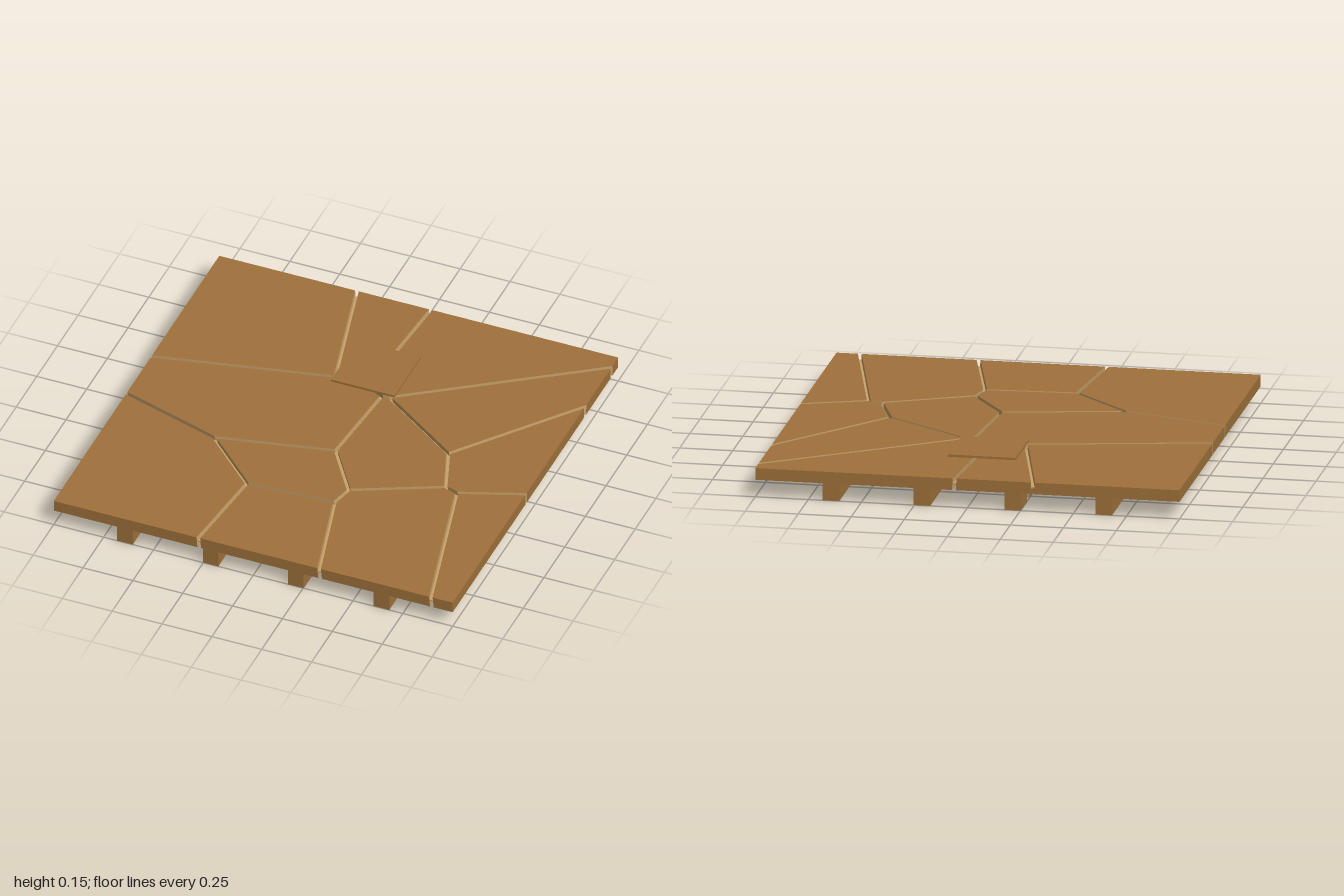
import * as THREE from 'three';
import { ConvexGeometry } from 'three/addons/geometries/ConvexGeometry.js';

const TOP = 0.138, DECK = 0.082, GAP = 0.009;
const LEAN = [0.08, -0.06]; // how far the cracks drift in x and z per unit of depth

// Corners shared by the broken pieces, as [x, z]
const P = {
  nw: [-1, -1], ne: [1, -1], sw: [-1, 1], se: [1, 1],
  n1: [-0.31, -1], n2: [0.06, -1], e1: [1, -0.92], e2: [1, -0.6], e3: [1, 0.115],
  s1: [-0.275, 1], s2: [0.33, 1], s3: [0.89, 1], w1: [-1, -0.18], w2: [-1, 0.12],
  a: [-0.155, -0.365], b: [0.01, -0.36], c: [0.1, -0.312], d: [0.135, -0.317],
  e: [0.55, -0.03], f: [0.635, 0.207], g: [0.7, 0.228], h: [0.23, 0.4],
  i: [0.205, 0.51], j: [-0.225, 0.535], k: [-0.5, 0.272], l: [0.06, 0.148],
};
const CELLS = [
  'nw n1 a w1', 'n1 n2 b a', 'n2 ne e1 d c b', 'e1 e2 e d',
  'w1 a b c l k w2', 'c d e f h l', 'e2 e3 g f e', 'g s3 s2 i h f',
  'e3 se s3 g', 'i s2 s1 j', 'k l h i j', 'w2 k j s1 sw',
].map((names) => names.split(' ').map((n) => P[n]));

const onBorder = (a, b) => [0, 1].some((i) => Math.abs(a[i]) === 1 && a[i] === b[i]);

// Planes [normal, distance] of the slanted crack walls round one piece
function crackPlanes(cell) {
  const cx = cell.reduce((s, p) => s + p[0], 0) / cell.length;
  const cz = cell.reduce((s, p) => s + p[1], 0) / cell.length;
  const planes = [];
  cell.forEach((a, i) => {
    const b = cell[(i + 1) % cell.length];
    if (onBorder(a, b)) return;
    const len = Math.hypot(b[0] - a[0], b[1] - a[1]);
    let nx = (b[1] - a[1]) / len, nz = (a[0] - b[0]) / len;
    if (nx * (cx - a[0]) + nz * (cz - a[1]) > 0) { nx = -nx; nz = -nz; }
    const ny = nx * LEAN[0] + nz * LEAN[1];
    planes.push([new THREE.Vector3(nx, ny, nz), nx * a[0] + nz * a[1] - GAP + ny * TOP]);
  });
  return planes;
}

// Solid left when a box is cut by the crack walls, or null when nothing is left
function cutBox(x0, x1, y0, y1, cuts) {
  const V = (x, y, z) => new THREE.Vector3(x, y, z);
  const planes = [
    [V(1, 0, 0), x1], [V(-1, 0, 0), -x0], [V(0, 1, 0), y1],
    [V(0, -1, 0), -y0], [V(0, 0, 1), 1], [V(0, 0, -1), 1], ...cuts,
  ];
  const pts = [];
  for (let i = 0; i < planes.length; i++)
    for (let j = i + 1; j < planes.length; j++)
      for (let k = j + 1; k < planes.length; k++) {
        const [[n1, d1], [n2, d2], [n3, d3]] = [planes[i], planes[j], planes[k]];
        const c23 = n2.clone().cross(n3);
        const det = n1.dot(c23);
        if (Math.abs(det) < 1e-6) continue;
        const p = c23.multiplyScalar(d1)
          .addScaledVector(n3.clone().cross(n1), d2)
          .addScaledVector(n1.clone().cross(n2), d3)
          .divideScalar(det);
        if (planes.every(([n, d]) => n.dot(p) <= d + 1e-6)
          && pts.every((q) => q.distanceTo(p) > 1e-4)) pts.push(p);
      }
  return pts.length >= 6 ? paintWalls(new ConvexGeometry(pts)) : null;
}

// Outer faces are square to the axes and take material 0, crack walls take material 1
function paintWalls(geometry) {
  const { normal } = geometry.attributes;
  for (let i = 0; i < normal.count; i += 3) {
    const straight = Math.max(...[normal.getX(i), normal.getY(i), normal.getZ(i)].map(Math.abs));
    geometry.addGroup(i, 3, straight > 0.9999 ? 0 : 1);
  }
  return geometry;
}

export function createModel() {
  const model = new THREE.Group();
  model.name = 'brokenWoodenFloor';
  const wood = new THREE.MeshStandardMaterial({ color: 0xa0723b });
  wood.name = 'brown wood';
  const core = new THREE.MeshStandardMaterial({ color: 0xc9a26b });
  core.name = 'pale inner wood';

  const add = (parent, geometry, material, name) => {
    if (!geometry) return;
    const mesh = new THREE.Mesh(geometry, material);
    mesh.name = name;
    parent.add(mesh);
  };

  // Each piece carries its share of the deck and of the four joists
  CELLS.forEach((cell, i) => {
    const piece = new THREE.Group();
    piece.name = `floorPiece${i + 1}`;
    const cuts = crackPlanes(cell);
    add(piece, cutBox(-1, 1, DECK, TOP, cuts), [wood, core], 'deck');
    for (const x of [-0.643, -0.214, 0.214, 0.643])
      add(piece, cutBox(x - 0.039, x + 0.039, 0, DECK, cuts), [wood, core], 'joist');
    model.add(piece);
  });

  // Thin pale core seen at the bottom of the cracks
  const sheet = new THREE.BoxGeometry(1.98, 0.006, 1.98);
  sheet.translate(0, (TOP + DECK) / 2, 0);
  add(model, sheet, core, 'deckCore');

  // Square cover plate resting on the deck
  const plate = new THREE.BoxGeometry(0.318, 0.011, 0.318);
  plate.translate(0, TOP + 0.0055, -0.483);
  add(model, plate, wood, 'coverPlate');

  return model;
}
